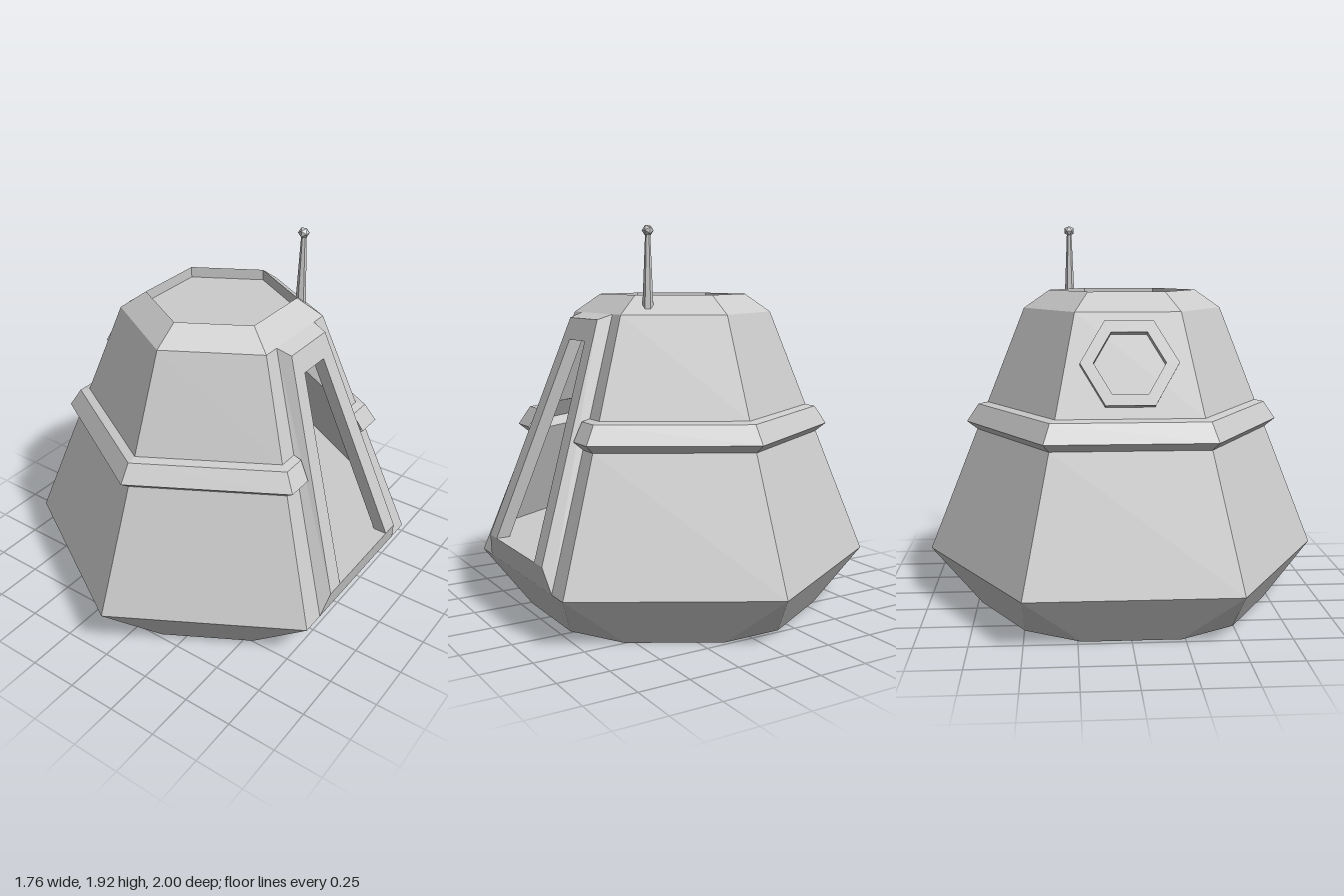
import * as THREE from 'three';

const material = new THREE.MeshStandardMaterial({ color: 0xcccccc, flatShading: true, side: THREE.DoubleSide });
const RAD = Math.PI / 180;
const SLOPE = Math.atan(0.3464); // lean of the hull walls

const polar = (r, y, deg) => [r * Math.cos(deg * RAD), y, r * Math.sin(deg * RAD)];
const hexPoint = (r, y, k) => polar(r, y, 30 + 60 * k);

// Collects flat polygons (fans of corners) into one faceted mesh
function facets(name, polygons) {
  const pos = [];
  for (const p of polygons)
    for (let i = 1; i < p.length - 1; i++) pos.push(...p[0], ...p[i], ...p[i + 1]);
  const g = new THREE.BufferGeometry();
  g.setAttribute('position', new THREE.Float32BufferAttribute(pos, 3));
  g.computeVertexNormals();
  const mesh = new THREE.Mesh(g, material);
  mesh.name = name;
  return mesh;
}

// Half-width of the doorway cut in the +x wall
const doorHalf = (y) => 0.38 - 0.215 * (y - 0.25) / 1.25;

function hull() {
  // Height and corner radius: lower wall, belt, upper wall
  const levels = [[0.25, 1], [0.88, 0.748], [0.92, 0.8], [1.01, 0.74], [1.02, 0.692], [1.5, 0.5]];
  const polys = [];
  for (let i = 0; i < levels.length - 1; i++) {
    const [y0, r0] = levels[i], [y1, r1] = levels[i + 1];
    for (let k = 0; k < 6; k++) {
      const a = hexPoint(r0, y0, k), b = hexPoint(r1, y1, k);
      const c = hexPoint(r1, y1, k + 1), d = hexPoint(r0, y0, k + 1);
      if (k < 5) { polys.push([a, b, c, d]); continue; }
      // Door wall: only the strips beside the frame
      const d0 = doorHalf(y0), d1 = doorHalf(y1);
      polys.push([a, b, [b[0], y1, -d1], [a[0], y0, -d0]]);
      polys.push([[d[0], y0, d0], [c[0], y1, d1], c, d]);
    }
  }
  return facets('hull', polys);
}

function roof() {
  const polys = [], floor = [];
  for (let k = 0; k < 6; k++) {
    const ring = (r, y) => [hexPoint(r, y, k), hexPoint(r, y, k + 1)];
    const [a, b] = ring(0.5, 1.5), [c, d] = ring(0.37, 1.59), [e, f] = ring(0.37, 1.535);
    polys.push([a, c, d, b], [c, e, f, d]);
    floor.unshift(e);
  }
  polys.push(floor);
  return facets('recessedRoof', polys);
}

function base() {
  const polys = [], disc = [], rim = [];
  for (let k = 0; k < 6; k++) rim.push(30 + 60 * k - 11.8, 30 + 60 * k + 11.8);
  // Hexagon corners taper to a twelve-sided foot
  for (let k = 0; k < 6; k++) {
    const top = hexPoint(1, 0.25, k), next = hexPoint(1, 0.25, k + 1);
    const p = polar(0.745, 0, rim[2 * k]), q = polar(0.745, 0, rim[2 * k + 1]);
    const r = polar(0.745, 0, rim[(2 * k + 2) % 12]);
    polys.push([p, top, q], [q, top, next, r]);
  }
  // Underside lip and recessed bottom
  for (let i = 0; i < 12; i++) {
    const j = (i + 1) % 12;
    const at = (r, y) => [polar(r, y, rim[i]), polar(r, y, rim[j])];
    const [a, b] = at(0.745, 0), [c, d] = at(0.6, 0), [e, f] = at(0.6, 0.04);
    polys.push([a, b, d, c], [c, d, f, e]);
    disc.push(e);
  }
  polys.push(disc);
  return facets('base', polys);
}

function doorFrame() {
  const front = (y) => 0.89 - 0.3475 * (y - 0.37);
  // Corner order: bottom -z, top -z, top +z, bottom +z
  const loop = (x0, y0, z0, x1, y1, z1) => [[x0, y0, -z0], [x1, y1, -z1], [x1, y1, z1], [x0, y0, z0]];
  const foot = loop(0.866, 0.25, 0.38, 0.433, 1.5, 0.165);
  const face = loop(front(0.37), 0.37, 0.33, front(1.475), 1.475, 0.15);
  const hole = loop(front(0.37), 0.37, 0.24, front(1.37), 1.37, 0.085);
  const back = hole.map(([x, y, z]) => [x - 0.07, y, z]);
  const polys = [];
  for (let i = 0; i < 4; i++) {
    const j = (i + 1) % 4;
    polys.push([foot[i], foot[j], face[j], face[i]]); // outer sides and sill
    if (i < 3) polys.push([face[i], face[j], hole[j], hole[i]]);
    polys.push([hole[i], hole[j], back[j], back[i]]); // jambs
  }
  return facets('doorFrame', polys);
}

function cabinFloor() {
  const corners = [];
  for (let k = 5; k >= 0; k--) corners.push(hexPoint(0.95, 0.37, k));
  return facets('cabinFloor', [corners]);
}

function porthole() {
  const hex = (C, r) => {
    const s = new C();
    s.setFromPoints(Array.from({ length: 6 }, (_, i) =>
      new THREE.Vector2(r * Math.cos(i * 60 * RAD), r * Math.sin(i * 60 * RAD))));
    s.closePath();
    return s;
  };
  const shape = hex(THREE.Shape, 0.23);
  shape.holes.push(hex(THREE.Path, 0.168));
  const g = new THREE.ExtrudeGeometry(shape, { depth: 0.046, bevelEnabled: false });
  g.rotateX(-SLOPE).rotateY(-Math.PI / 2);
  const mesh = new THREE.Mesh(g, material);
  mesh.position.set(-0.516, 1.26, 0);
  mesh.name = 'portholeFrame';
  return mesh;
}

function antenna() {
  const group = new THREE.Group();
  const mast = new THREE.Mesh(new THREE.CylinderGeometry(0.012, 0.027, 0.37, 6), material);
  mast.position.y = 1.7;
  mast.name = 'antennaMast';
  const tip = new THREE.Mesh(new THREE.IcosahedronGeometry(0.028, 0), material);
  tip.position.y = 1.892;
  tip.name = 'antennaTip';
  group.add(mast, tip);
  group.position.set(0.295, 0, -0.265);
  group.name = 'antenna';
  return group;
}

export function createModel() {
  const capsule = new THREE.Group();
  capsule.name = 'capsule';
  capsule.add(hull(), roof(), base(), doorFrame(), cabinFloor(), porthole(), antenna());
  capsule.position.x = -0.013; // the door frame juts out on one side
  const model = new THREE.Group();
  model.add(capsule);
  return model;
}
